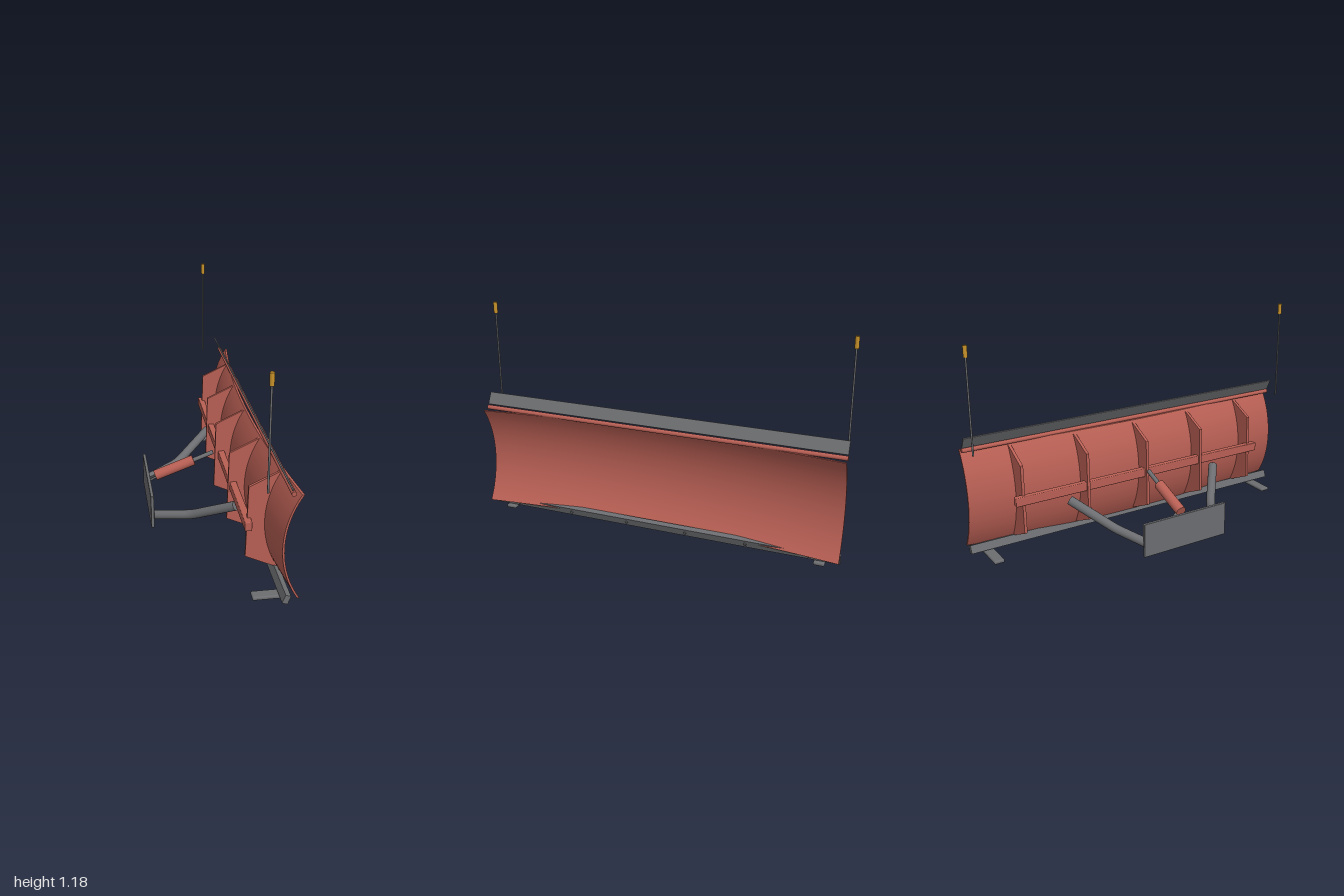
import * as THREE from 'three';
import { toCreasedNormals } from 'three/addons/utils/BufferGeometryUtils.js';
import { RoundedBoxGeometry } from 'three/addons/geometries/RoundedBoxGeometry.js';

const mat = (name, color) => {
  const m = new THREE.MeshStandardMaterial({ color });
  m.name = name;
  return m;
};
const V = (x, y, z) => new THREE.Vector3(x, y, z);

export function createModel() {
  const red = mat('red paint', 0xb85f54);
  const steel = mat('grey steel', 0x6c6d70);
  const amber = mat('amber', 0xc8922a);
  const model = new THREE.Group();

  const add = (name, geo, m, x = 0, y = 0, z = 0) => {
    const mesh = new THREE.Mesh(geo, m);
    mesh.name = name;
    mesh.position.set(x, y, z);
    model.add(mesh);
    return mesh;
  };
  // Round bar between two points
  const rod = (name, a, b, r, m) => {
    const mesh = add(name, new THREE.CylinderGeometry(r, r, a.distanceTo(b), 20), m);
    mesh.position.copy(a).add(b).multiplyScalar(0.5);
    mesh.quaternion.setFromUnitVectors(V(0, 1, 0), b.clone().sub(a).normalize());
    return mesh;
  };

  // The blade is a circular arc in section, bowed backwards towards its middle
  const bow = (z) => -0.065 * (1 - z * z);
  const arc = (y, back = 0) => 0.734 - Math.sqrt((0.504 + back) ** 2 - (y - 0.328) ** 2);
  const arcPoints = (y0, y1, back, n = 24) =>
    Array.from({ length: n + 1 }, (_, i) => {
      const y = y0 + ((y1 - y0) * i) / n;
      return new THREE.Vector2(arc(y, back), y);
    });

  // Curved blade sheet
  const sheet = new THREE.Shape([...arcPoints(0.055, 0.602, 0), ...arcPoints(0.602, 0.055, 0.01)]);
  const bladeGeo = new THREE.ExtrudeGeometry(sheet, { depth: 2, steps: 28, bevelEnabled: false });
  bladeGeo.translate(0, 0, -1);
  const p = bladeGeo.attributes.position;
  for (let i = 0; i < p.count; i++) p.setX(i, p.getX(i) + bow(p.getZ(i)));
  add('blade', toCreasedNormals(bladeGeo, 0.5), red);

  // Upright ribs behind the blade
  const ribShape = new THREE.Shape([
    new THREE.Vector2(0.13, 0.14),
    new THREE.Vector2(0.14, 0.52),
    ...arcPoints(0.597, 0.06, 0.006),
  ]);
  const ribGeo = new THREE.ExtrudeGeometry(ribShape, { depth: 0.016, bevelEnabled: false });
  ribGeo.translate(0, 0, -0.008);
  for (const z of [-0.74, -0.37, 0, 0.37, 0.74]) add('rib', ribGeo, red, bow(z), 0, z);

  // Cross beam and top pipe
  add('crossBeam', new RoundedBoxGeometry(0.036, 0.05, 1.58, 2, 0.005), red, 0.106, 0.33, 0);
  rod('topPipe', V(0.262, 0.608, -1), V(0.262, 0.608, 1), 0.012, red);

  // Deflector flap above the blade
  const flap = add('deflectorFlap', new RoundedBoxGeometry(0.009, 0.07, 2, 2, 0.003), steel, 0.243, 0.655, 0);
  flap.rotation.z = 0.47;

  // Cutting edge with bolts
  const edge = add('cuttingEdge', new THREE.BoxGeometry(0.028, 0.046, 2), steel, 0.25, 0.05, 0);
  edge.rotation.z = -0.36;
  for (const z of [-0.84, -0.505, -0.17, 0.17, 0.505, 0.84]) {
    const d = V(0.936, -0.352, 0);
    const c = V(0.25, 0.05, z);
    rod('edgeBolt', c, c.clone().addScaledVector(d, 0.02), 0.008, steel);
  }

  // Mirrored parts: skid shoes, push arms and edge markers
  for (const s of [-1, 1]) {
    add('skidShoe', new RoundedBoxGeometry(0.168, 0.02, 0.058, 3, 0.008), steel, 0.189, 0.012, s * 0.895);

    const path = new THREE.CurvePath();
    const a = V(-0.3, 0.098, s * 0.21);
    const b = V(-0.105, 0.14, s * 0.312);
    const c = V(0.1, 0.268, s * 0.475);
    const b0 = b.clone().lerp(a, 0.15);
    const b1 = b.clone().lerp(c, 0.15);
    path.add(new THREE.LineCurve3(a, b0));
    path.add(new THREE.QuadraticBezierCurve3(b0, b, b1));
    path.add(new THREE.LineCurve3(b1, c));
    add('pushArm', new THREE.TubeGeometry(path, 32, 0.025, 16), steel);
    const cap = new THREE.CylinderGeometry(0.025, 0.025, 0.004, 16);
    const end = add('pushArmEnd', cap, steel, c.x, c.y, c.z);
    end.quaternion.setFromUnitVectors(V(0, 1, 0), c.clone().sub(b).normalize());

    rod('markerRod', V(0.148, 0.613, s * 0.98), V(0.148, 1.13, s * 0.98), 0.005, steel);
    rod('markerTip', V(0.148, 1.12, s * 0.98), V(0.148, 1.18, s * 0.98), 0.011, amber);
  }

  // Mounting plate
  add('mountPlate', new RoundedBoxGeometry(0.018, 0.19, 0.52, 2, 0.004), steel, -0.306, 0.14, 0);

  // Hydraulic ram and its hose
  rod('ramBarrel', V(-0.265, 0.226, 0), V(-0.05, 0.306, 0), 0.029, red);
  rod('ramRod', V(-0.06, 0.302, 0), V(0.06, 0.348, 0), 0.012, steel);
  const hose = new THREE.CatmullRomCurve3([
    V(-0.3, 0.125, -0.16),
    V(-0.272, 0.16, -0.11),
    V(-0.26, 0.195, -0.06),
    V(-0.253, 0.222, -0.015),
  ]);
  add('hose', new THREE.TubeGeometry(hose, 24, 0.007, 10), steel);

  return model;
}
